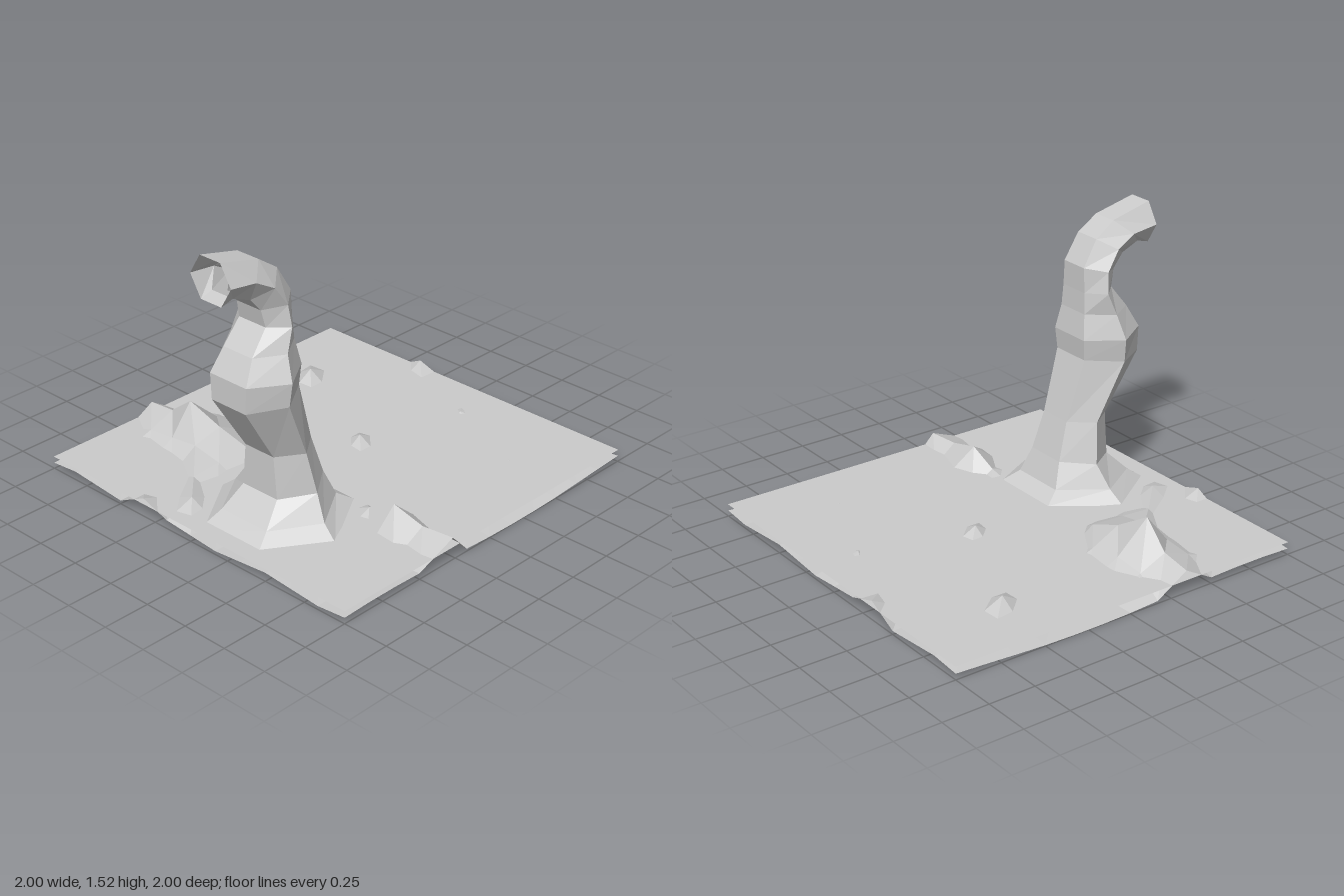
import * as THREE from 'three';

const material = () => new THREE.MeshStandardMaterial({
  color: 0xcccccc, flatShading: true, side: THREE.DoubleSide,
});

function add(group, name, geometry) {
  const mesh = new THREE.Mesh(geometry, material());
  mesh.name = name;
  group.add(mesh);
  return mesh;
}

// Rolling seabed on a 12 x 12 grid; listed peaks pull their nearest vertex up
function makeSeabed() {
  const n = 12;
  const geo = new THREE.PlaneGeometry(2, 2, n, n).rotateX(-Math.PI / 2);
  const p = geo.attributes.position;
  for (let i = 0; i < p.count; i++) {
    const x = p.getX(i), z = p.getZ(i);
    const y = 0.018 - 0.014 * Math.cos(Math.PI * x) + 0.014 * Math.sin(Math.PI * (3 * z + x));
    p.setY(i, Math.max(0, y));
  }
  const peaks = [ // x, y, z
    // main hill and its ridges
    [-0.37, 0.26, -0.67], [-0.19, 0.1, -0.67], [-0.17, 0.08, -0.5], [-0.35, 0.14, -0.83],
    [-0.34, 0.12, -1], [-0.33, 0.16, -0.5], [-0.31, 0.1, -0.33], [-0.5, 0.12, -0.5],
    [-0.5, 0.1, -0.67], [-0.5, 0.085, -0.83], [-0.5, 0.09, -0.33], [-0.67, 0.08, -0.33],
    [-0.83, 0.1, -0.17], [-0.2, 0.075, -0.83],
    // front hill
    [-0.29, 0.165, 0.65], [-0.29, 0.12, 0.83], [-0.27, 0.12, 1], [-0.3, 0.09, 0.5],
    [-0.18, 0.07, 0.67],
    // small islets
    [0.17, 0.105, 0], [0.5, 0.115, -0.67], [0.75, 0.074, 0.17],
    [0.54, 0.068, 0.67], [-1, 0.1, -0.33], [1, 0.1, -0.33],
  ];
  for (const [x, y, z] of peaks) {
    const col = Math.round((x + 1) * n / 2), row = Math.round((z + 1) * n / 2);
    p.setXYZ(row * (n + 1) + col, x, y, z);
  }
  geo.computeVertexNormals();
  return geo;
}

// Hexagonal tube through tilted rings: inner x, y, outer x, y, half depth
function makeTrunk(rings, zc) {
  const pos = [], index = [], sides = 6;
  rings.forEach(([lx, ly, rx, ry, h], r) => {
    for (let i = 0; i < sides; i++) {
      const a = (i + 0.5) / sides * Math.PI * 2;
      const t = Math.cos(a) / Math.cos(Math.PI / 6) / 2;
      pos.push((lx + rx) / 2 + (rx - lx) * t, (ly + ry) / 2 + (ry - ly) * t, zc + h * Math.sin(a));
      if (r === 0) continue;
      const j = (i + 1) % sides, lo = (r - 1) * sides, up = r * sides;
      index.push(lo + i, up + i, lo + j, lo + j, up + i, up + j);
    }
  });
  const geo = new THREE.BufferGeometry();
  geo.setAttribute('position', new THREE.Float32BufferAttribute(pos, 3));
  geo.setIndex(index);
  geo.computeVertexNormals();
  return geo;
}

export function createModel() {
  const group = new THREE.Group();
  group.name = 'archAndWater';

  add(group, 'seabed', makeSeabed());

  // Flat water surface that the hills and islets pierce
  const water = add(group, 'water', new THREE.PlaneGeometry(2, 2).rotateX(-Math.PI / 2));
  water.position.y = 0.067;

  // Flared base, swelling middle, then a bend to the open end at the tile edge
  add(group, 'bentTrunk', makeTrunk([
    [-0.94, 0.04, -0.28, 0.08, 0.385],
    [-0.83, 0.12, -0.36, 0.13, 0.3],
    [-0.72, 0.23, -0.41, 0.26, 0.225],
    [-0.72, 0.45, -0.47, 0.46, 0.185],
    [-0.91, 0.755, -0.565, 0.78, 0.22],
    [-0.91, 0.89, -0.555, 0.89, 0.235],
    [-0.845, 1.01, -0.575, 1.02, 0.185],
    [-0.75, 1.13, -0.58, 1.13, 0.17],
    [-0.77, 1.22, -0.58, 1.26, 0.155],
    [-0.83, 1.29, -0.66, 1.395, 0.145],
    [-0.93, 1.33, -0.77, 1.47, 0.135],
    [-1, 1.31, -1, 1.525, 0.13],
  ], 0.187));

  return group;
}
